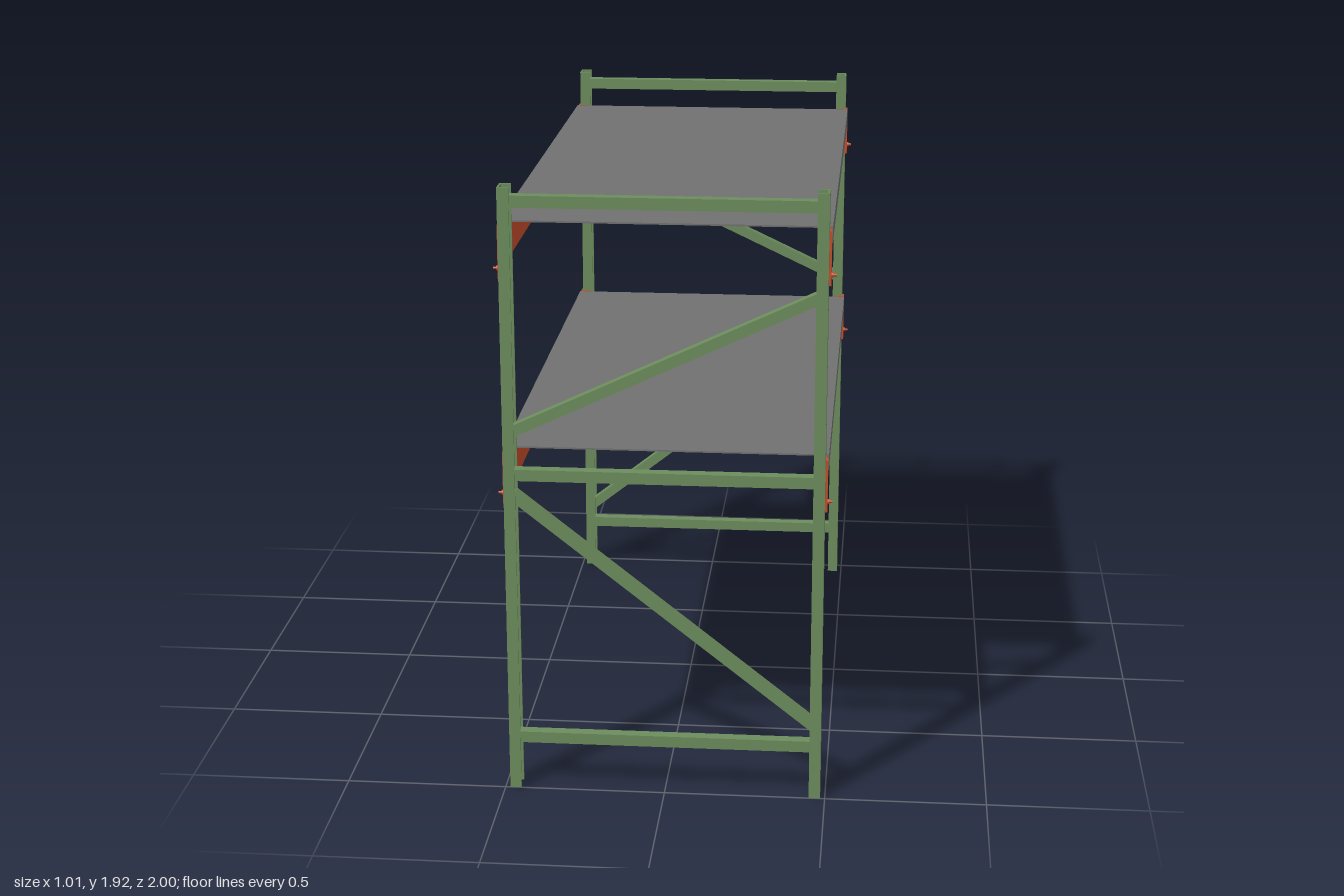
import * as THREE from 'three';

const green = new THREE.MeshStandardMaterial({ color: 0x6b8c5c });
green.name = 'frame green';
const orange = new THREE.MeshStandardMaterial({ color: 0xc34c2a });
orange.name = 'beam orange';
const grey = new THREE.MeshStandardMaterial({ color: 0x707070 });
grey.name = 'deck grey';

// Box given by its min and max corners
function box(name, material, [x0, y0, z0], [x1, y1, z1]) {
  const mesh = new THREE.Mesh(new THREE.BoxGeometry(x1 - x0, y1 - y0, z1 - z0), material);
  mesh.position.set((x0 + x1) / 2, (y0 + y1) / 2, (z0 + z1) / 2);
  mesh.name = name;
  return mesh;
}

const HEIGHT = 1.92, OUT = 0.485, IN = 0.45, WALL = 0.006;

// Channel upright, open towards the middle of the frame
function upright(side) {
  const s = new THREE.Shape();
  [[OUT, 1], [IN, 1], [IN, 1 - WALL], [OUT - WALL, 1 - WALL], [OUT - WALL, 0.94 + WALL],
    [IN, 0.94 + WALL], [IN, 0.94], [OUT, 0.94]]
    .forEach(([x, z], i) => (i ? s.lineTo(side * x, -z) : s.moveTo(side * x, -z)));
  const geo = new THREE.ExtrudeGeometry(s, { depth: HEIGHT, bevelEnabled: false });
  geo.rotateX(-Math.PI / 2);
  const mesh = new THREE.Mesh(geo, green);
  mesh.name = 'upright';
  return mesh;
}

// Diagonal brace crossing the frame between two heights
function brace(yLeft, yRight) {
  const w = 0.92, dy = yRight - yLeft;
  const mesh = new THREE.Mesh(new THREE.BoxGeometry(Math.hypot(w, dy), 0.034, 0.034), green);
  mesh.position.set(0, (yLeft + yRight) / 2, 0.972);
  mesh.rotation.z = Math.atan2(dy, w);
  mesh.name = 'diagonalBrace';
  return mesh;
}

function endFrame() {
  const g = new THREE.Group();
  g.name = 'endFrame';
  g.add(upright(1), upright(-1));
  for (const y of [0.169, 1.032, 1.876]) {
    g.add(box('crossRail', green, [-0.478, y - 0.018, 0.955], [0.478, y + 0.018, 0.99]));
  }
  g.add(brace(1.168, 1.603), brace(0.968, 0.238));
  return g;
}

// Beam with a hooked end plate and a pin at each end; top is the deck height
function beam(top) {
  const g = new THREE.Group();
  g.name = 'beam';
  g.add(box('beamBar', orange, [0.457, top - 0.1, -0.935], [0.4868, top - 0.005, 0.935]));
  for (const s of [-1, 1]) {
    const z = (a, b) => [Math.min(s * a, s * b), Math.max(s * a, s * b)];
    const [p0, p1] = z(0.934, 0.966);
    const [f0, f1] = z(0.933, 0.94);
    g.add(box('endPlate', orange, [0.485, top - 0.167, p0], [0.492, top - 0.003, p1]));
    g.add(box('endPlateReturn', orange, [0.455, top - 0.167, f0], [0.4915, top - 0.003, f1]));
    const shaft = new THREE.Mesh(new THREE.CylinderGeometry(0.004, 0.004, 0.03, 10), orange);
    const head = new THREE.Mesh(new THREE.CylinderGeometry(0.008, 0.008, 0.005, 10), orange);
    shaft.name = 'lockPin';
    head.name = 'lockPinHead';
    shaft.position.set(0.492, top - 0.136, s * 0.953);
    head.position.set(0.4945, top - 0.136, s * 0.953);
    shaft.rotation.z = head.rotation.z = Math.PI / 2;
    g.add(shaft, head);
  }
  return g;
}

// Sheet deck folded down over the beams
function deck(top) {
  const g = new THREE.Group();
  g.name = 'deck';
  g.add(box('deckSheet', grey, [-0.493, top - 0.005, -0.915], [0.493, top, 0.915]));
  for (const s of [-1, 1]) {
    const xs = [s * 0.487, s * 0.493].sort((a, b) => a - b);
    g.add(box('deckEdge', grey, [xs[0], top - 0.049, -0.915], [xs[1], top - 0.005, 0.915]));
  }
  return g;
}

export function createModel() {
  const model = new THREE.Group();
  model.name = 'storageRack';
  for (const turn of [0, Math.PI]) {
    const half = new THREE.Group();
    half.name = turn ? 'backHalf' : 'frontHalf';
    half.add(endFrame(), beam(1.1), beam(1.803));
    half.rotation.y = turn;
    model.add(half);
  }
  model.add(deck(1.1), deck(1.803));
  return model;
}
